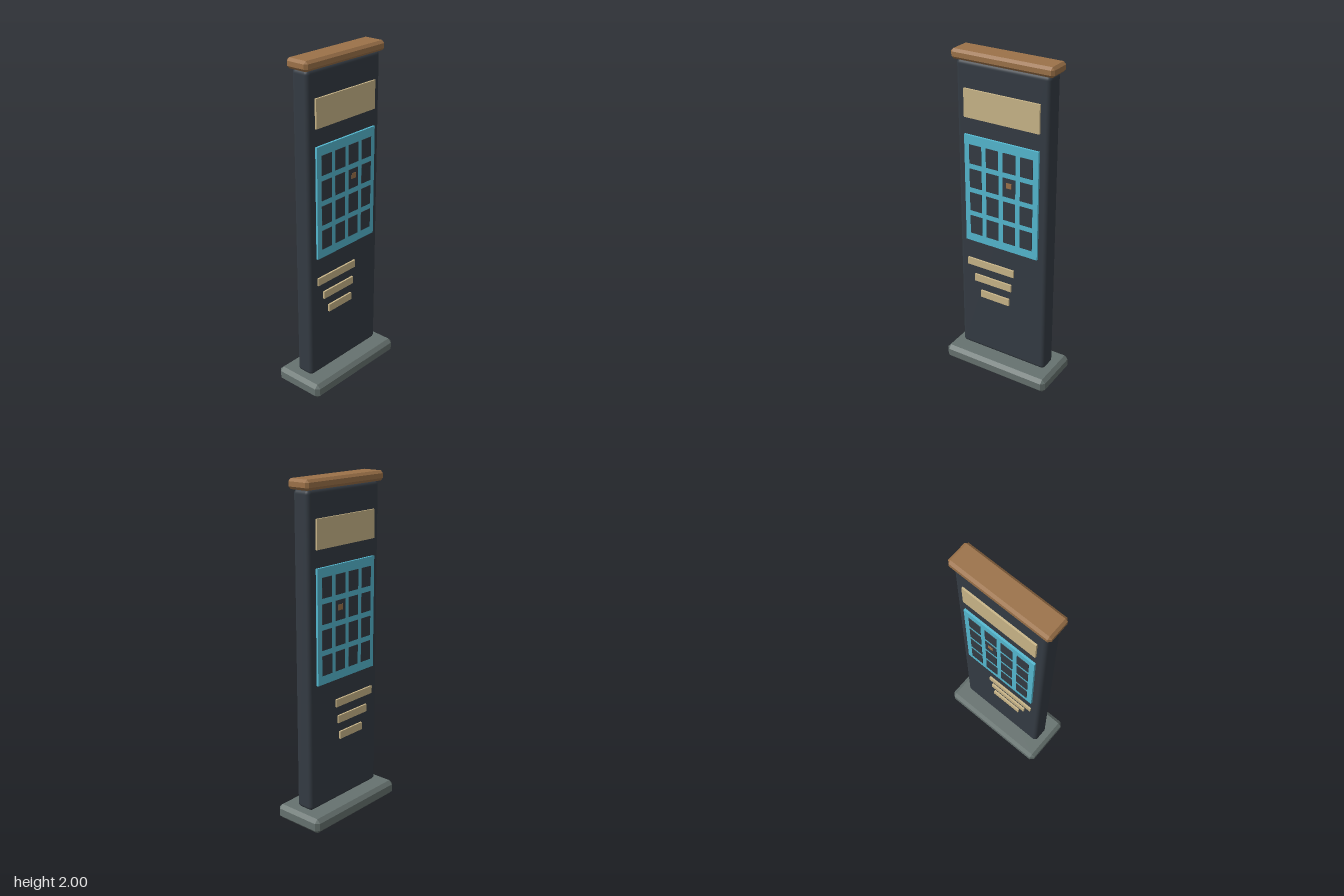
import * as THREE from 'three';
import { RoundedBoxGeometry } from 'three/addons/geometries/RoundedBoxGeometry.js';
import { ConvexGeometry } from 'three/addons/geometries/ConvexGeometry.js';

const material = (name, color) => {
  const m = new THREE.MeshStandardMaterial({ color });
  m.name = name;
  return m;
};

// Box with every edge cut at 45 degrees
function chamferedBox(w, h, d, c) {
  const points = [];
  for (const x of [-1, 1]) for (const y of [-1, 1]) for (const z of [-1, 1]) {
    for (let axis = 0; axis < 3; axis++) {
      const half = [w / 2, h / 2, d / 2].map((s, i) => (i === axis ? s : s - c));
      points.push(new THREE.Vector3(x * half[0], y * half[1], z * half[2]));
    }
  }
  return new ConvexGeometry(points);
}

export function createModel() {
  const slate = material('slate', 0x343b43);
  const stone = material('stone', 0x66726f);
  const copper = material('copper', 0x9c7249);
  const sand = material('sand', 0xc9b588);
  const cyan = material('cyan', 0x54b8d0);

  const model = new THREE.Group();
  model.name = 'informationPillar';

  const add = (parent, name, geometry, mat, x, y, z) => {
    const mesh = new THREE.Mesh(geometry, mat);
    mesh.name = name;
    mesh.position.set(x, y, z);
    parent.add(mesh);
  };

  // Plinth, slab and cap
  add(model, 'base', chamferedBox(0.708, 0.09, 0.324, 0.022), stone, 0, 0.045, 0);
  add(model, 'body', new RoundedBoxGeometry(0.588, 1.855, 0.114, 4, 0.025), slate, 0, 1.0175, 0);
  add(model, 'cap', chamferedBox(0.636, 0.057, 0.147, 0.015), copper, 0, 1.9715, 0);

  // Both faces carry the same panels, mirrored across z
  for (const side of [1, -1]) {
    const face = new THREE.Group();
    face.name = side > 0 ? 'frontPanels' : 'backPanels';
    model.add(face);

    // Plate given by its edges, running from inside the slab out to depth z
    const plate = (name, mat, x0, x1, y0, y1, z) => {
      const inner = z - 0.009;
      add(face, name, new THREE.BoxGeometry(x1 - x0, y1 - y0, 0.009), mat,
        (x0 + x1) / 2, (y0 + y1) / 2, side * (inner + z) / 2);
    };

    // Header backing keeps the raised plates attached to the slab
    plate('headerBacking', sand, -0.24, 0.24, 1.625, 1.791, 0.06);
    plate('header', sand, -0.24, 0.24, 1.625, 1.791, 0.068);
    plate('gridBacking', cyan, -0.24, 0.24, 0.856, 1.524, 0.062);
    plate('gridPanel', cyan, -0.24, 0.24, 0.856, 1.524, 0.07);

    // Four by four dark tiles
    for (let row = 0; row < 4; row++) for (let col = 0; col < 4; col++) {
      const x = (col - 1.5) * 0.111;
      const y = 1.412 - row * 0.1485;
      plate('tile', slate, x - 0.04, x + 0.04, y - 0.058, y + 0.058, 0.073);
    }
    plate('marker', copper, 0.04, 0.072, 1.263, 1.295, 0.076);

    // Three shrinking bars
    for (const [x0, x1, y] of [[-0.235, 0.083, 0.707], [-0.187, 0.066, 0.603], [-0.145, 0.05, 0.499]]) {
      plate('barBacking', sand, x0, x1, y - 0.023, y + 0.023, 0.06);
      plate('bar', sand, x0, x1, y - 0.023, y + 0.023, 0.068);
    }
  }
  return model;
}
